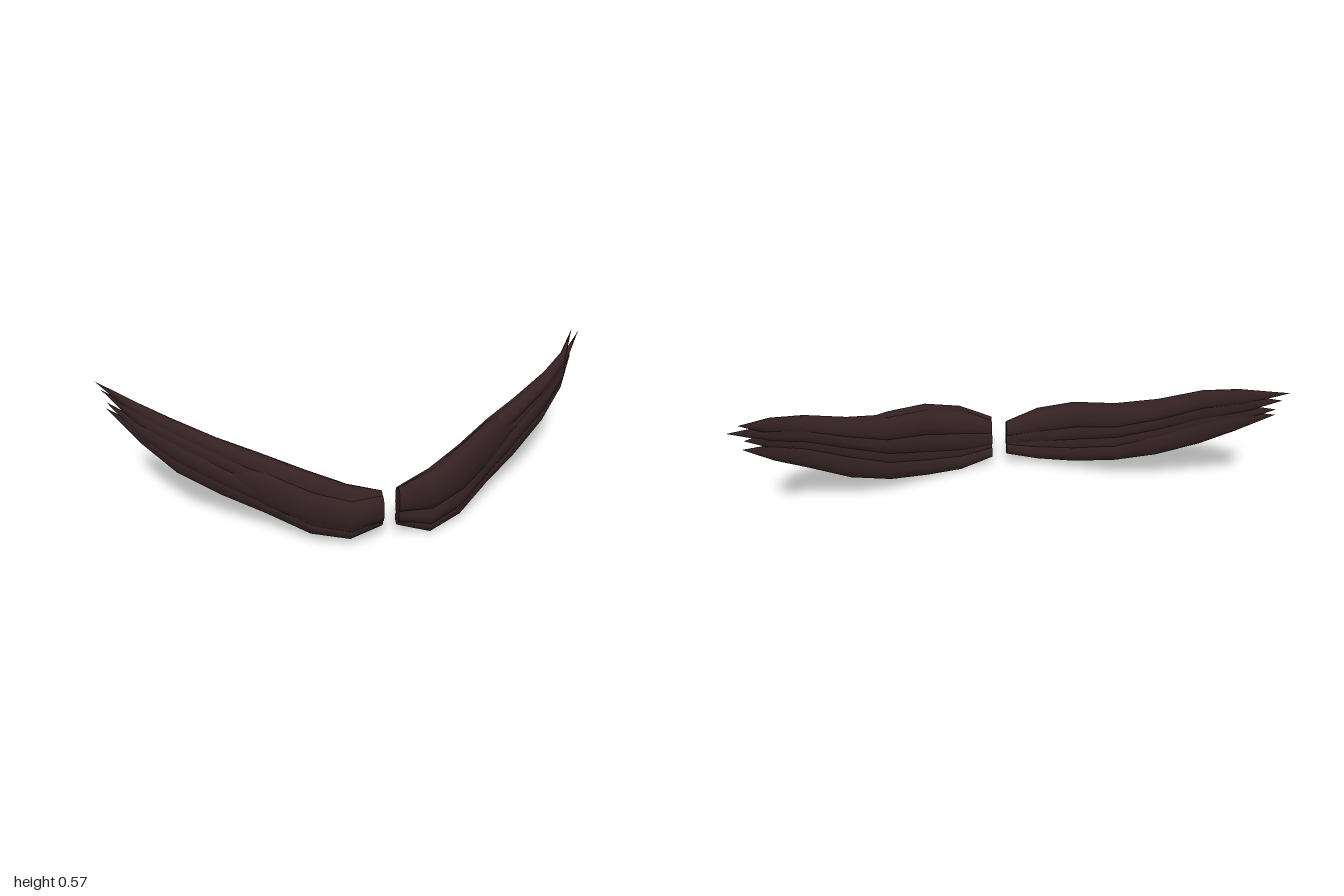
import * as THREE from 'three';

const SIDES = 12;
const hair = new THREE.MeshStandardMaterial({ color: 0x352223 });
hair.name = 'darkBrown';

// Stations from root to tip, and the depth of the spine at each of them
const X = [0.03, 0.16, 0.3, 0.45, 0.6, 0.75, 0.86];
const Z = [0.225, 0.228, 0.172, 0.073, 0, -0.068, -0.145];
const THICK = [0.022, 0.046, 0.055, 0.053, 0.044, 0.034, 0.025];

// Each lock: top and bottom edge at the stations, pointed tip, depth shift, thickness factor
const leftLocks = [
  { name: 'bottomLock', top: [0.1, 0.09, 0.13, 0.19, 0.27, 0.345, 0.395], bot: [0.05, 0, 0.02, 0.075, 0.14, 0.24, 0.33], tip: [0.95, 0.44, -0.25], dz: -0.01, f: 0.85 },
  { name: 'lowerLock', top: [0.15, 0.15, 0.19, 0.26, 0.335, 0.41, 0.445], bot: [0.07, 0.035, 0.06, 0.12, 0.2, 0.295, 0.375], tip: [0.94, 0.475, -0.25], dz: 0, f: 0.9 },
  { name: 'middleLock', top: [0.19, 0.22, 0.26, 0.3, 0.365, 0.435, 0.475], bot: [0.1, 0.08, 0.12, 0.19, 0.27, 0.35, 0.41], tip: [0.99, 0.525, -0.277], dz: -0.006, f: 0.95 },
  { name: 'topLock', top: [0.22, 0.28, 0.325, 0.357, 0.4, 0.46, 0.503], bot: [0.15, 0.15, 0.2, 0.25, 0.315, 0.385, 0.44], tip: [0.95, 0.545, -0.262], dz: -0.004, f: 0.95 },
  { name: 'coverLock', top: [0.23, 0.287, 0.337, 0.368], bot: [0.12, 0.115, 0.135, 0.175], tip: [0.61, 0.315, 0.01], dz: 0.012, f: 0.88 },
];
const rightLocks = [
  { name: 'bottomLock', top: [0.12, 0.12, 0.15, 0.21, 0.29, 0.37, 0.43], bot: [0.06, 0.03, 0.047, 0.105, 0.165, 0.247, 0.345], tip: [0.97, 0.465, -0.25], dz: -0.008, f: 0.9 },
  { name: 'lowerLock', top: [0.15, 0.17, 0.21, 0.27, 0.34, 0.415, 0.455], bot: [0.08, 0.06, 0.08, 0.14, 0.21, 0.295, 0.375], tip: [0.968, 0.49, -0.255], dz: 0, f: 0.95 },
  { name: 'middleLock', top: [0.18, 0.22, 0.26, 0.32, 0.385, 0.455, 0.5], bot: [0.1, 0.1, 0.14, 0.2, 0.27, 0.35, 0.415], tip: [0.98, 0.535, -0.27], dz: -0.004, f: 0.95 },
  { name: 'topLock', top: [0.215, 0.265, 0.315, 0.357, 0.41, 0.48, 0.523], bot: [0.14, 0.15, 0.2, 0.25, 0.32, 0.4, 0.455], tip: [1, 0.57, -0.28], dz: -0.008, f: 0.9 },
  { name: 'coverLock', top: [0.2, 0.225, 0.275, 0.325], bot: [0.09, 0.075, 0.095, 0.14], tip: [0.64, 0.29, -0.01], dz: 0.012, f: 0.9 },
];

// Loft of oval rings, flat at the root and drawn to a point at the tip
function lockGeometry({ top, bot, tip, dz, f }, side) {
  const pos = [], index = [];
  const tri = (a, b, c) => (side > 0 ? index.push(a, b, c) : index.push(a, c, b));
  const ring = (x, y, z, h, t) => {
    for (let j = 0; j < SIDES; j++) {
      const a = (j / SIDES) * Math.PI * 2;
      pos.push(side * x, y + h * Math.sin(a), z + t * Math.cos(a));
    }
  };
  const station = (i) =>
    ring(X[i], (top[i] + bot[i]) / 2, Z[i] + dz, (top[i] - bot[i]) / 2, THICK[i] * f);

  top.forEach((_, i) => station(i));
  // The short cover locks end broad; the long ones run straight to a point
  if (top.length < X.length) ring(0.56, tip[1] - 0.01, 0.027, 0.062, 0.03);
  ring(tip[0], tip[1], tip[2], 0, 0);

  const rings = pos.length / 3 / SIDES;
  for (let i = 0; i < rings - 1; i++) {
    for (let j = 0; j < SIDES; j++) {
      const k = (j + 1) % SIDES;
      const a = i * SIDES + j, b = i * SIDES + k;
      tri(a, a + SIDES, b);
      if (i < rings - 2) tri(b, a + SIDES, b + SIDES);
    }
  }
  // Root cap with its own ring, so that its edge stays sharp
  const base = pos.length / 3;
  station(0);
  for (let j = 1; j < SIDES - 1; j++) tri(base, base + j, base + j + 1);

  const g = new THREE.BufferGeometry();
  g.setAttribute('position', new THREE.Float32BufferAttribute(pos, 3));
  g.setIndex(index);
  g.computeVertexNormals();
  return g;
}

function wing(name, locks, side) {
  const group = new THREE.Group();
  group.name = name;
  for (const lock of locks) {
    const mesh = new THREE.Mesh(lockGeometry(lock, side), hair);
    mesh.name = lock.name;
    group.add(mesh);
  }
  return group;
}

export function createModel() {
  const model = new THREE.Group();
  model.name = 'sweptLocks';
  model.add(wing('leftSweep', leftLocks, 1), wing('rightSweep', rightLocks, -1));
  return model;
}
